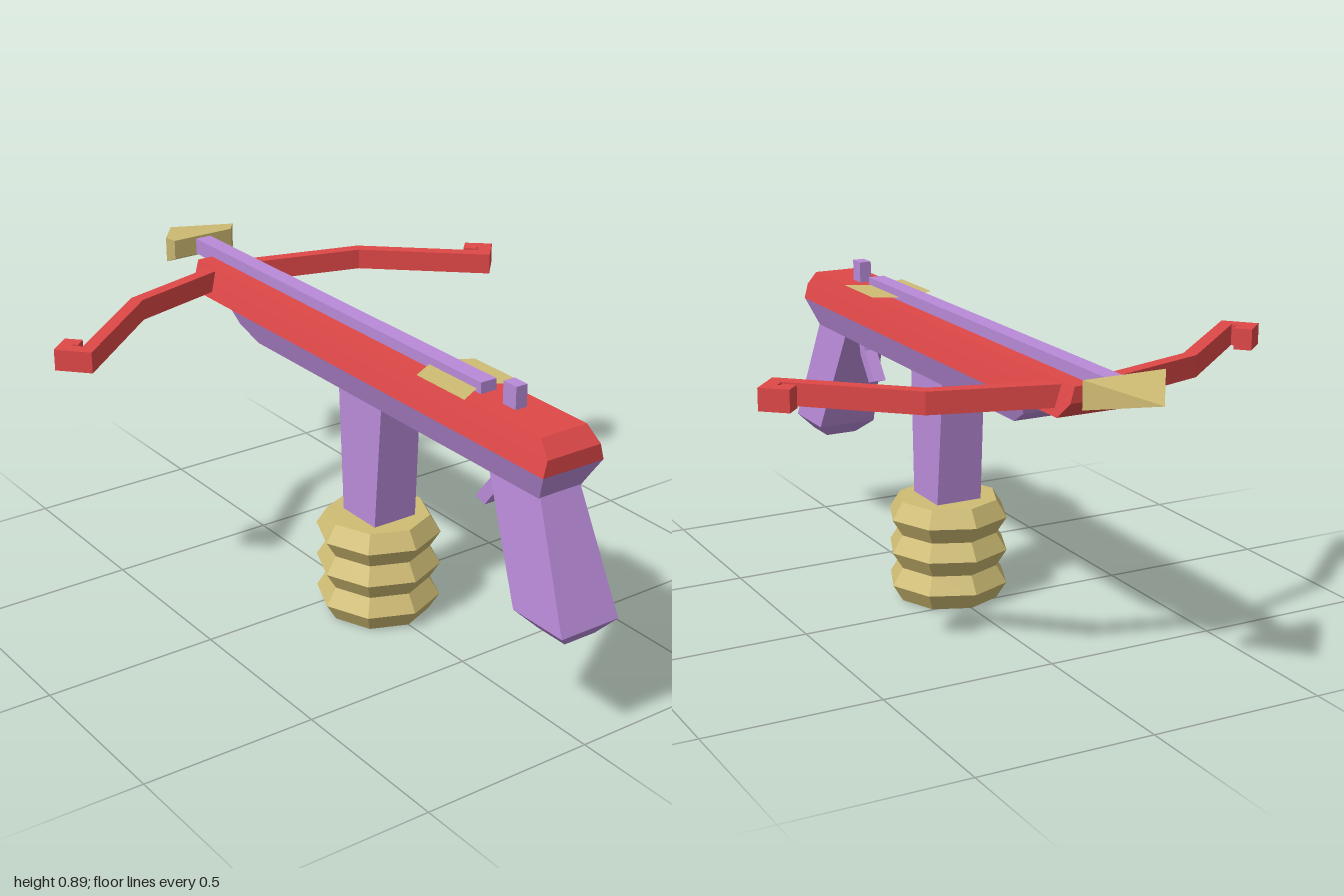
import * as THREE from 'three';

const paint = (color) => new THREE.MeshStandardMaterial({ color, flatShading: true });

// Flat-faced solid stacked from rectangles [y, xMin, xMax, halfDepth], bottom to top
function stack(rows) {
  const pos = rows.flatMap(([y, a, b, h]) => [a, y, h, b, y, h, b, y, -h, a, y, -h]);
  const index = [0, 2, 1, 0, 3, 2];
  for (let r = 0; r < rows.length - 1; r++) {
    for (let i = 0; i < 4; i++) {
      const a = r * 4 + i, b = r * 4 + (i + 1) % 4;
      index.push(a, b, b + 4, a, b + 4, a + 4);
    }
  }
  const t = (rows.length - 1) * 4;
  index.push(t, t + 1, t + 2, t, t + 2, t + 3);
  const geo = new THREE.BufferGeometry();
  geo.setAttribute('position', new THREE.Float32BufferAttribute(pos, 3));
  geo.setIndex(index);
  const flat = geo.toNonIndexed();
  flat.computeVertexNormals();
  return flat;
}

// Outline of constant width around a polyline, with mitred corners
function ribbon(points, half) {
  const left = [], right = [];
  points.forEach((p, i) => {
    const dirIn = p.clone().sub(points[Math.max(i - 1, 0)]).normalize();
    const dirOut = points[Math.min(i + 1, points.length - 1)].clone().sub(p).normalize();
    const nIn = new THREE.Vector2(-dirIn.y, dirIn.x);
    const nOut = new THREE.Vector2(-dirOut.y, dirOut.x);
    const mid = nIn.clone().add(nOut).normalize();
    const len = half / Math.max(mid.dot(i ? nIn : nOut), 0.4);
    left.push(p.clone().addScaledVector(mid, len));
    right.unshift(p.clone().addScaledVector(mid, -len));
  });
  return new THREE.Shape([...left, ...right]);
}

const polygon = (pts) => new THREE.Shape(pts.map(([x, y]) => new THREE.Vector2(x, y)));

export function createModel() {
  const model = new THREE.Group();
  model.name = 'crossbow';
  const red = paint(0xe04848), purple = paint(0xb98bd8), gold = paint(0xcfbc74);
  const add = (name, geo, mat) => {
    const mesh = new THREE.Mesh(geo, mat);
    mesh.name = name;
    model.add(mesh);
    return mesh;
  };

  // Stock: red upper rail over a purple lower body
  add('upperStock', stack([
    [0.74, -0.67, 0.905, 0.097], [0.785, -0.715, 0.905, 0.085], [0.828, -0.715, 0.865, 0.073],
  ]), red);
  add('lowerStock', stack([
    [0.66, -0.4, 0.86, 0.066], [0.70, -0.475, 0.882, 0.081], [0.74, -0.495, 0.905, 0.096],
  ]), purple);

  // Handles
  add('rearGrip', stack([
    [0.293, 0.86, 0.96, 0.05], [0.337, 0.81, 0.996, 0.093], [0.665, 0.665, 0.862, 0.065],
  ]), purple);
  add('frontColumn', stack([[0.29, 0.037, 0.185, 0.07], [0.665, 0.01, 0.207, 0.066]]), purple);

  // Ribbed octagonal foot
  const profile = [new THREE.Vector2(0, 0)];
  for (let i = 0; i <= 6; i++) profile.push(new THREE.Vector2(i % 2 ? 0.178 : 0.147, i * 0.05));
  profile.push(new THREE.Vector2(0, 0.3));
  add('ribbedFoot', new THREE.LatheGeometry(profile, 8), gold).position.x = 0.107;

  // Trigger
  const trigger = new THREE.ExtrudeGeometry(polygon([
    [0.637, 0.67], [0.625, 0.62], [0.56, 0.537], [0.597, 0.525], [0.655, 0.6], [0.672, 0.67],
  ]), { depth: 0.04, bevelEnabled: false });
  add('trigger', trigger.translate(0, 0, -0.02), purple);

  // Bow limbs with hooked tips
  for (const side of [1, -1]) {
    const path = [
      [-0.642, 0.05], [-0.545, side > 0 ? 0.38 : 0.395], [-0.285, 0.68],
      [-0.335, 0.726], [-0.365, 0.692], [-0.342, 0.67],
    ].map(([x, z]) => new THREE.Vector2(x, -z * side));
    const limb = new THREE.ExtrudeGeometry(ribbon(path, 0.019), { depth: 0.06, bevelEnabled: false });
    limb.rotateX(-Math.PI / 2).translate(0, 0.76, 0);
    add(side > 0 ? 'leftLimb' : 'rightLimb', limb, red);
  }

  // Bolt: shaft, head and flat swept fins
  add('boltShaft', new THREE.BoxGeometry(1.385, 0.047, 0.05), purple).position.set(-0.1175, 0.836, 0);
  add('boltHead', stack([
    [0.805, 0.81, 0.867, 0.1], [0.825, 0.8, 0.875, 0.118], [1, 0.8375, 0.8385, 0.0005],
  ]).rotateZ(Math.PI / 2), gold);
  const finMaterial = gold.clone();
  finMaterial.side = THREE.DoubleSide;
  for (const side of [1, -1]) {
    const fin = new THREE.ShapeGeometry(polygon([
      [0.347, 0], [0.545, 0], [0.597, -0.096 * side], [0.4, -0.096 * side],
    ]));
    add(side > 0 ? 'leftFin' : 'rightFin', fin.rotateX(-Math.PI / 2).translate(0, 0.838, 0), finMaterial);
  }

  // Rear sight
  add('rearSight', new THREE.BoxGeometry(0.05, 0.07, 0.036), purple).position.set(0.678, 0.855, 0);

  return model;
}
